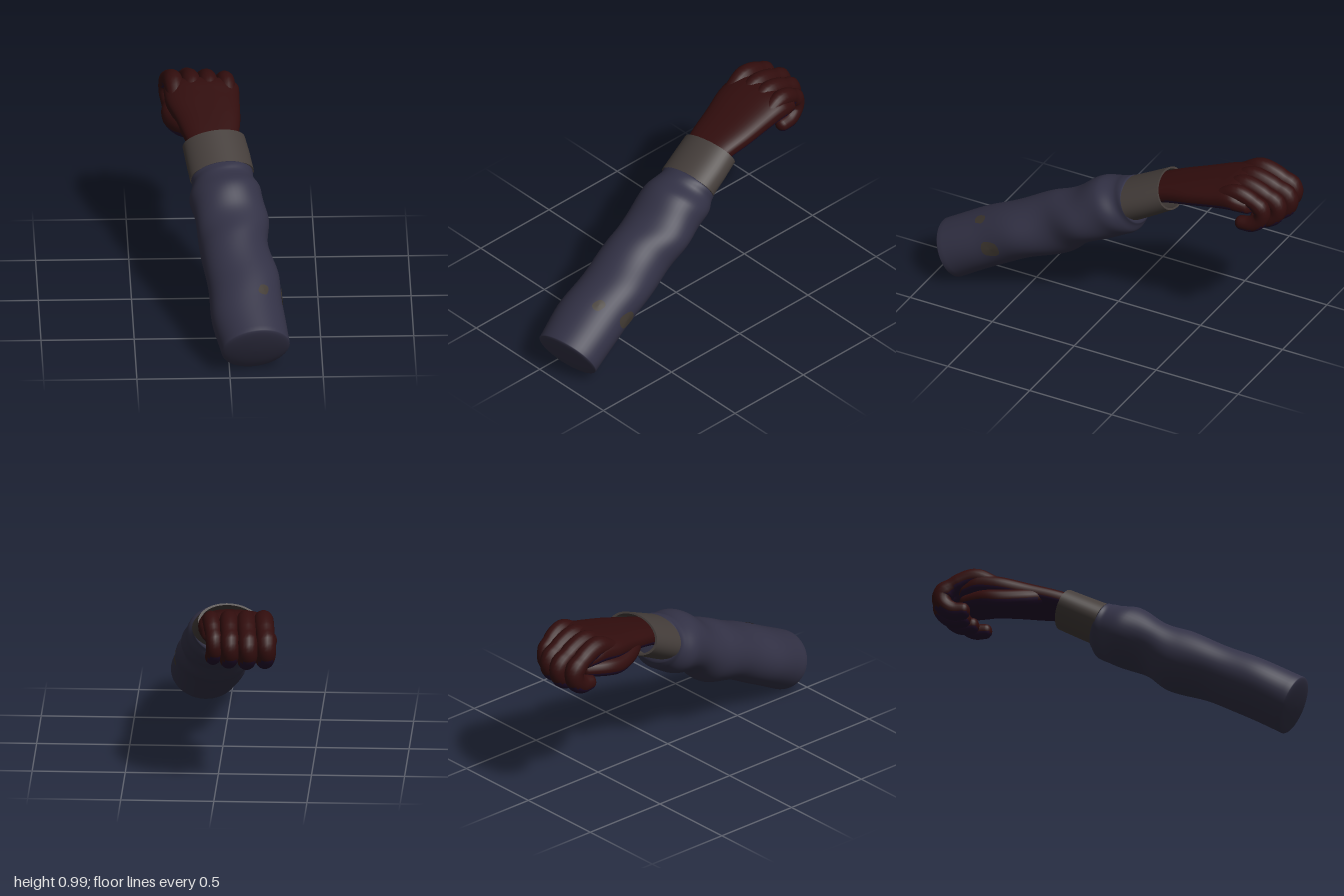
import * as THREE from 'three';
import { toCreasedNormals } from 'three/addons/utils/BufferGeometryUtils.js';

const V = (x, y, z) => new THREE.Vector3(x, y, z);
const bend = (c, p) => Math.sign(c) * Math.pow(Math.abs(c), p);

// Elliptical sweep through stations [x, y, z, halfWidth, halfHeight];
// returns point(s, angle), with s running from 0 to 1
function sweep(stations, { u = V(1, 0, 0), dir = null, power = 1, fold = () => 1 } = {}) {
  const path = new THREE.CatmullRomCurve3(stations.map(s => V(s[0], s[1], s[2])));
  const size = new THREE.CatmullRomCurve3(stations.map(s => V(s[3], s[4], 0)));
  return (s, angle, scale = 1, push = 0) => {
    const d = (dir ? dir.clone() : path.getTangent(s)).normalize();
    const right = u.clone().addScaledVector(d, -u.dot(d)).normalize();
    const up = right.clone().cross(d);
    const r = size.getPoint(s), k = scale * fold(s, angle);
    return path.getPoint(s).addScaledVector(d, push)
      .addScaledVector(right, r.x * k * bend(Math.cos(angle), power))
      .addScaledVector(up, r.y * k * bend(Math.sin(angle), power));
  };
}

// Skin a list of closed rings, each a function of the angle
function skin(rings, sides) {
  const pos = [], index = [];
  rings.forEach((ring, i) => {
    for (let j = 0; j < sides; j++) {
      pos.push(...ring(j / sides * Math.PI * 2).toArray());
      if (i === rings.length - 1) continue;
      const k = (j + 1) % sides, a = i * sides + j, b = i * sides + k;
      index.push(a, a + sides, b, b, a + sides, b + sides);
    }
  });
  const geo = new THREE.BufferGeometry();
  geo.setAttribute('position', new THREE.Float32BufferAttribute(pos, 3));
  geo.setIndex(index);
  geo.computeVertexNormals();
  return geo;
}

// Closed solid from a sweep, with a dome of the given depth on each end
function solid(point, steps, sides, startDome, endDome) {
  const rings = [], n = 7;
  for (let i = 0; i < n; i++) {
    const f = (1 - i / n) * Math.PI / 2;
    rings.push(a => point(0, a, Math.max(Math.cos(f), 0.002), -startDome * Math.sin(f)));
  }
  for (let i = 0; i <= steps; i++) rings.push(a => point(i / steps, a));
  for (let i = 1; i <= n; i++) {
    const f = i / n * Math.PI / 2;
    rings.push(a => point(1, a, Math.max(Math.cos(f), 0.002), endDome * Math.sin(f)));
  }
  return skin(rings, sides);
}

// Sort faces into two material groups: upper skin and downward-facing skin
function splitUnderside(geo) {
  const p = geo.attributes.position, idx = geo.index.array, upper = [], lower = [];
  const a = V(), b = V(), c = V();
  for (let i = 0; i < idx.length; i += 3) {
    a.fromBufferAttribute(p, idx[i]);
    b.fromBufferAttribute(p, idx[i + 1]).sub(a);
    c.fromBufferAttribute(p, idx[i + 2]).sub(a);
    const ny = b.cross(c).normalize().y;
    (ny < -0.4 ? lower : upper).push(idx[i], idx[i + 1], idx[i + 2]);
  }
  geo.setIndex([...upper, ...lower]);
  geo.addGroup(0, upper.length, 0);
  geo.addGroup(upper.length, lower.length, 1);
  return geo;
}

export function createModel() {
  const mat = (name, color, side = THREE.FrontSide) => {
    const m = new THREE.MeshStandardMaterial({ color, side });
    m.name = name;
    return m;
  };
  const cloth = mat('sleeve cloth', 0x323145);
  const cuffCloth = mat('cuff cloth', 0x443d3a, THREE.DoubleSide);
  const patchCloth = mat('patch', 0x3e3730, THREE.DoubleSide);
  const skinTones = [mat('skin', 0x310d0d), mat('palm skin', 0x210b2b)];

  const group = new THREE.Group();
  const add = (parent, name, geo, material) => {
    const mesh = new THREE.Mesh(geo, material);
    mesh.name = name;
    parent.add(mesh);
  };

  // Sleeve with soft diagonal folds
  const armFrame = { u: V(1, 0.1, -0.17), dir: V(-0.14, 0.47, -0.88) };
  const sleevePoint = sweep([
    [0.14, 0.14, 0.925, 0.185, 0.16],
    [0.1, 0.25, 0.725, 0.197, 0.157],
    [0.085, 0.35, 0.53, 0.192, 0.155],
    [0.042, 0.437, 0.325, 0.187, 0.168],
    [0.037, 0.53, 0.175, 0.193, 0.148],
    [0.005, 0.605, 0.035, 0.195, 0.167],
    [-0.005, 0.64, -0.06, 0.172, 0.148],
    [-0.012, 0.675, -0.1, 0.165, 0.13],
  ], { ...armFrame, fold: (s, a) => 1 + 0.02 * Math.min(1, s * 2) * Math.sin(s * 26 + 2 * a) });
  add(group, 'sleeve', solid(sleevePoint, 56, 48, 0.022, 0.02), cloth);

  // Two worn patches following the sleeve surface
  const patch = (name, s0, a0, ds, da) => {
    const rings = [0.001, 0.5, 1].map(k => t =>
      sleevePoint(s0 + ds * k * Math.cos(t), a0 + da * k * Math.sin(t) * (1 + 0.2 * Math.cos(2 * t + 1)), 1.02));
    add(group, name, skin(rings, 16), patchCloth);
  };
  patch('upperPatch', 0.17, 1.08, 0.022, 0.17);
  patch('sidePatch', 0.195, -0.02, 0.034, 0.32);

  // Open cuff with a thick rim and inner wall
  const cuffPoint = sweep([
    [-0.012, 0.682, -0.095, 0.174, 0.112],
    [-0.03, 0.732, -0.195, 0.172, 0.108],
    [-0.05, 0.783, -0.295, 0.17, 0.106],
  ], { u: V(1, 0.15, -0.19), dir: V(-0.14, 0.44, -0.88) });
  const cuffRings = [[0, 0.8], [0, 1], [0.5, 1.01], [1, 1], [1, 0.91], [0.3, 0.88]]
    .map(([s, k]) => a => cuffPoint(s, a, k));
  add(group, 'cuff', toCreasedNormals(skin(cuffRings, 48), 0.8), cuffCloth);

  // Hand: wrist and palm, four curled fingers, thumb
  const hand = new THREE.Group();
  hand.name = 'hand';
  group.add(hand);
  const palm = sweep([
    [-0.04, 0.765, -0.2, 0.125, 0.06],
    [-0.06, 0.802, -0.31, 0.145, 0.06],
    [-0.075, 0.838, -0.45, 0.172, 0.066],
    [-0.1, 0.872, -0.6, 0.198, 0.074],
    [-0.105, 0.892, -0.72, 0.203, 0.08],
    [-0.11, 0.875, -0.8, 0.185, 0.066],
  ], { dir: V(0, 0.2, -1), power: 0.8 });
  add(hand, 'palm', splitUnderside(solid(palm, 28, 40, 0.01, 0.04)), skinTones);

  const digit = (name, stations) =>
    add(hand, name, splitUnderside(solid(sweep(stations), 30, 18, 0.03, 0.035)), skinTones);

  // base x, knuckle x, shortening along z, thickness
  [
    ['indexFinger', -0.255, -0.277, 0.025, 0.054],
    ['middleFinger', -0.16, -0.18, 0, 0.053],
    ['ringFinger', -0.068, -0.083, 0.018, 0.052],
    ['littleFinger', 0.028, 0.003, 0.065, 0.047],
  ].forEach(([name, bx, mx, dz, r]) => digit(name, [
    [bx + 0.01, 0.9, -0.63, r * 0.8, r * 0.7],
    [bx, 0.934, -0.74, r, r * 1.05],
    [(bx + mx) / 2, 0.905, -0.85 + dz * 0.5, r * 0.97, r],
    [mx, 0.852, -0.938 + dz, r * 0.97, r],
    [mx, 0.797, -0.935 + dz, r * 0.95, r * 0.95],
    [mx + 0.01, 0.755, -0.885 + dz, r * 0.92, r * 0.95],
    [mx + 0.015, 0.748, -0.825 + dz, r * 0.85, r * 0.85],
  ]));

  digit('thumb', [
    [-0.14, 0.82, -0.36, 0.05, 0.045],
    [-0.215, 0.795, -0.48, 0.058, 0.055],
    [-0.255, 0.788, -0.59, 0.06, 0.056],
    [-0.268, 0.8, -0.68, 0.052, 0.05],
    [-0.235, 0.81, -0.79, 0.045, 0.042],
  ]);

  return group;
}
